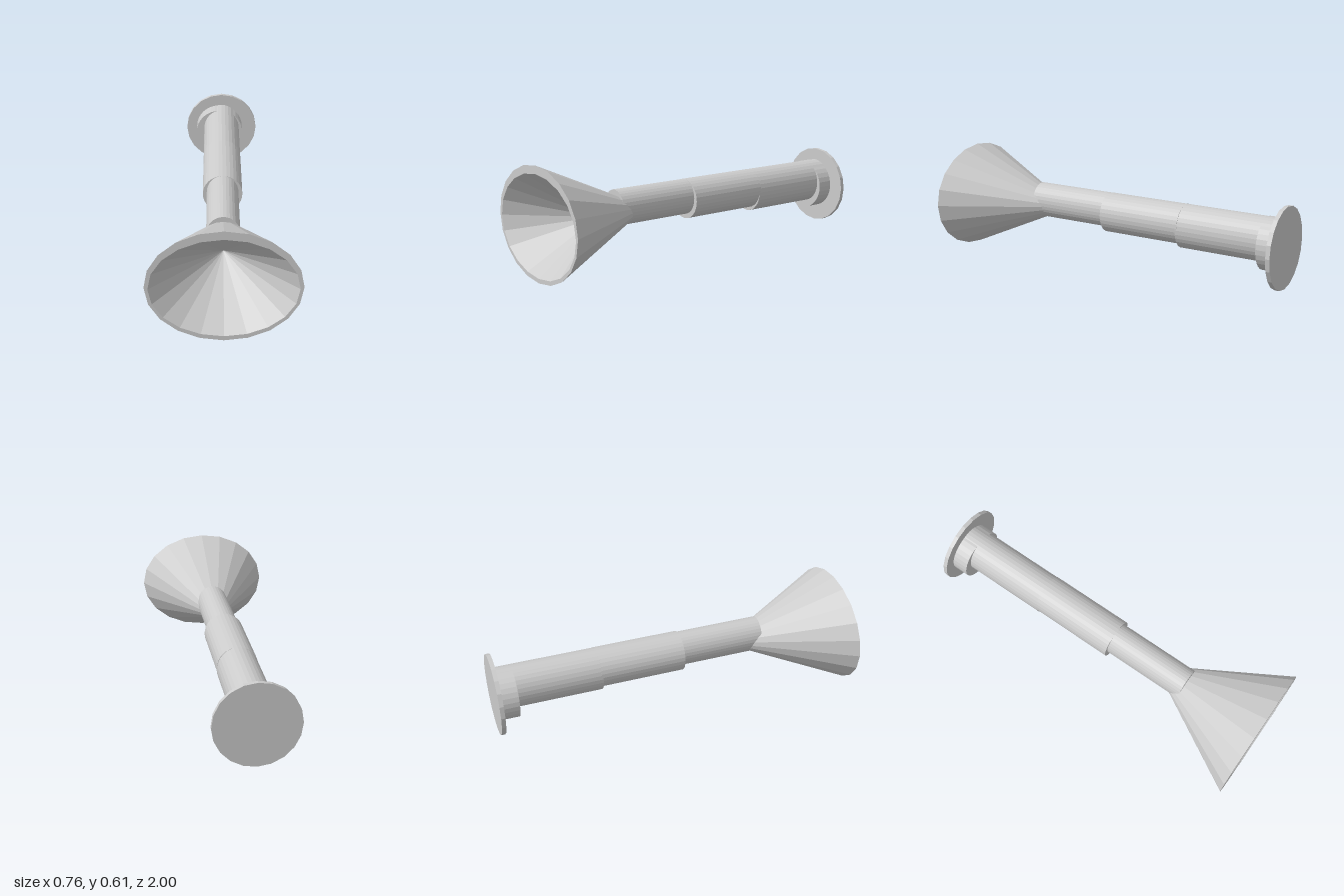
import * as THREE from 'three';

const material = new THREE.MeshStandardMaterial({ color: 0xcccccc, flatShading: true });

// Elliptical cylinder lying along z, from zBack to zFront
function rod(name, rx, ry, x, y, zBack, zFront, sides) {
  const geometry = new THREE.CylinderGeometry(1, 1, zFront - zBack, sides);
  geometry.rotateX(Math.PI / 2);
  geometry.scale(rx, ry, 1);
  geometry.translate(x, y, (zBack + zFront) / 2);
  const mesh = new THREE.Mesh(geometry, material);
  mesh.name = name;
  return mesh;
}

// Hollow elliptical horn: outer cone, rim, and a shallower inner cone
function horn() {
  const rings = [ // rx, ry, centre y, z
    [0, 0, 0.305, 0.32],
    [0.38, 0.303, 0.305, 1],
    [0.362, 0.269, 0.295, 1],
    [0, 0, 0.295, 0.64],
  ];
  const profile = rings.map(([r, , , z]) => new THREE.Vector2(r, z));
  const geometry = new THREE.LatheGeometry(profile, 20);
  geometry.rotateX(Math.PI / 2);
  // Squash and shift each ring vertically
  const pos = geometry.attributes.position;
  for (let i = 0; i < pos.count; i++) {
    const [rx, ry, cy] = rings[i % rings.length];
    pos.setY(i, cy + (rx ? pos.getY(i) * ry / rx : 0));
  }
  geometry.computeVertexNormals();
  const mesh = new THREE.Mesh(geometry, material);
  mesh.name = 'horn';
  return mesh;
}

export function createModel() {
  const group = new THREE.Group();
  group.name = 'steppedHorn';
  group.add(
    horn(),
    // Stepped tube, flush along its top
    rod('frontTube', 0.088, 0.098, 0, 0.329, 0.04, 0.53, 32),
    rod('middleTube', 0.11, 0.111, 0, 0.316, -0.42, 0.06, 32),
    rod('rearTube', 0.11, 0.121, 0, 0.306, -0.98, -0.41, 32),
    // Collar and end plate
    rod('collar', 0.145, 0.142, -0.013, 0.282, -0.98, -0.885, 32),
    rod('endPlate', 0.222, 0.222, 0, 0.273, -1, -0.977, 20),
  );
  return group;
}
